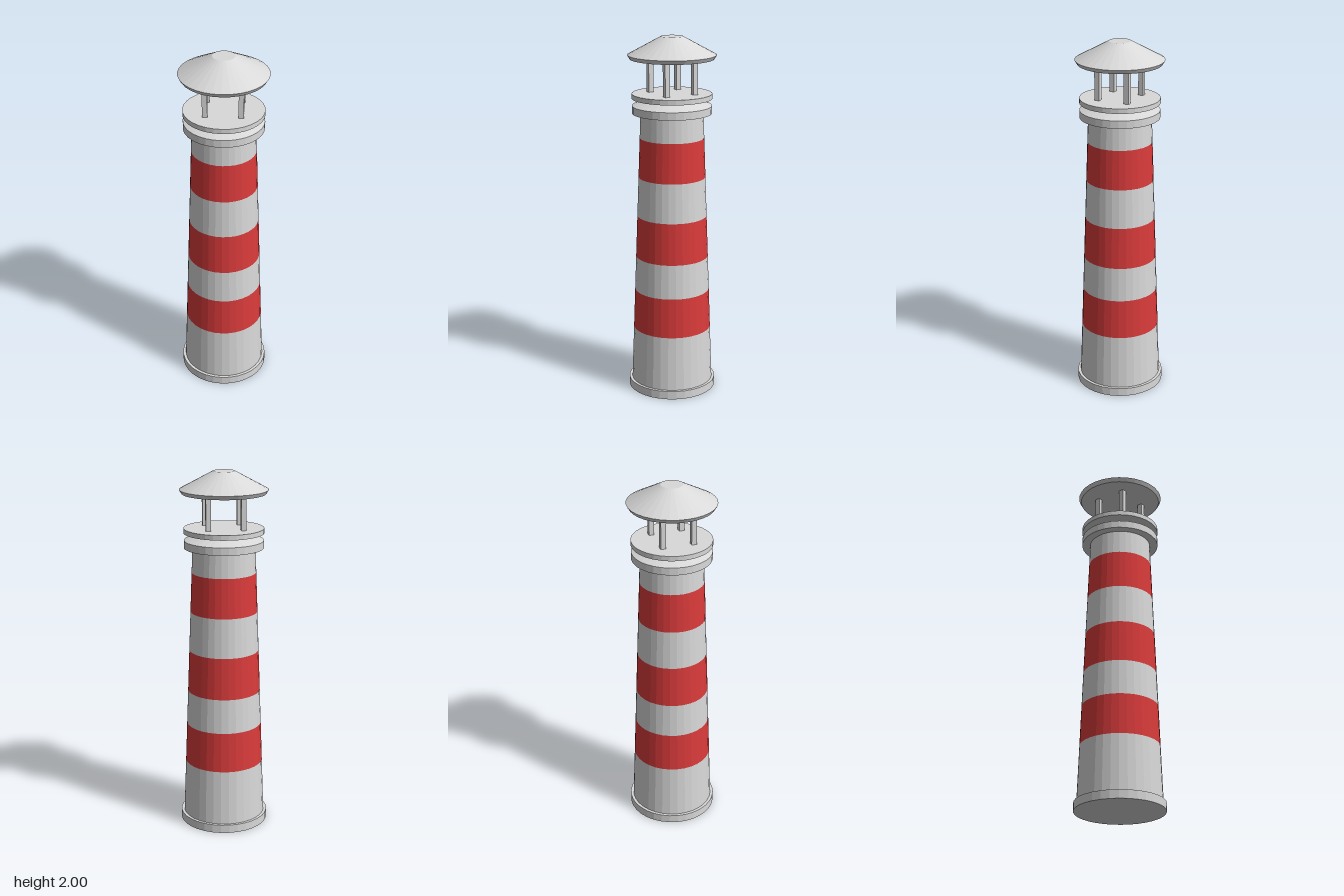
import * as THREE from 'three';

const SIDES = 32;

export function createModel() {
  const model = new THREE.Group();
  const white = new THREE.MeshStandardMaterial({ color: 0xd9d9d9, flatShading: true });
  white.name = 'white paint';
  const red = new THREE.MeshStandardMaterial({ color: 0xda3b3b, flatShading: true });
  red.name = 'red paint';

  function add(name, geometry, material, x = 0, y = 0, z = 0) {
    const mesh = new THREE.Mesh(geometry, material);
    mesh.name = name;
    mesh.position.set(x, y, z);
    model.add(mesh);
    return mesh;
  }

  // Closed or open round section between two heights
  function drum(name, rBottom, rTop, y0, y1, material = white, open = false) {
    const g = new THREE.CylinderGeometry(rTop, rBottom, y1 - y0, SIDES, 1, open);
    add(name, g, material, 0, (y0 + y1) / 2, 0);
  }

  // Foundation
  drum('base', 0.245, 0.245, 0, 0.047);

  // Tapered tower, split into alternating bands
  const bottom = 0.047, top = 1.59;
  const radiusAt = (y) => THREE.MathUtils.lerp(0.229, 0.172, (y - bottom) / (top - bottom));
  const levels = [bottom, 0.357, 0.582, 0.776, 1.01, 1.23, 1.45, top];
  for (let i = 0; i < levels.length - 1; i++) {
    const [y0, y1] = [levels[i], levels[i + 1]];
    const striped = i % 2 === 1;
    drum(striped ? 'redBand' : 'whiteBand', radiusAt(y0), radiusAt(y1), y0, y1, striped ? red : white, true);
  }

  // Gallery: flat rim with a shallow sloping top
  const galleryProfile = [[0, 1.585], [0.218, 1.585], [0.218, 1.627], [0.145, 1.653], [0.11, 1.661], [0, 1.667]]
    .map(([r, y]) => new THREE.Vector2(r, y));
  add('gallery', new THREE.LatheGeometry(galleryProfile, SIDES), white);

  // Lantern floor
  drum('lanternFloor', 0.219, 0.219, 1.666, 1.693);

  // Four lantern posts
  for (const sx of [-1, 1]) {
    for (const sz of [-1, 1]) {
      add('lanternPost', new THREE.BoxGeometry(0.028, 0.2, 0.028), white, sx * 0.095, 1.79, sz * 0.085);
    }
  }

  // Roof: bevelled eave and truncated cone
  const roofProfile = [[0, 1.88], [0.228, 1.88], [0.241, 1.902], [0.06, 2], [0, 2]]
    .map(([r, y]) => new THREE.Vector2(r, y));
  add('roof', new THREE.LatheGeometry(roofProfile, SIDES), white);

  return model;
}
